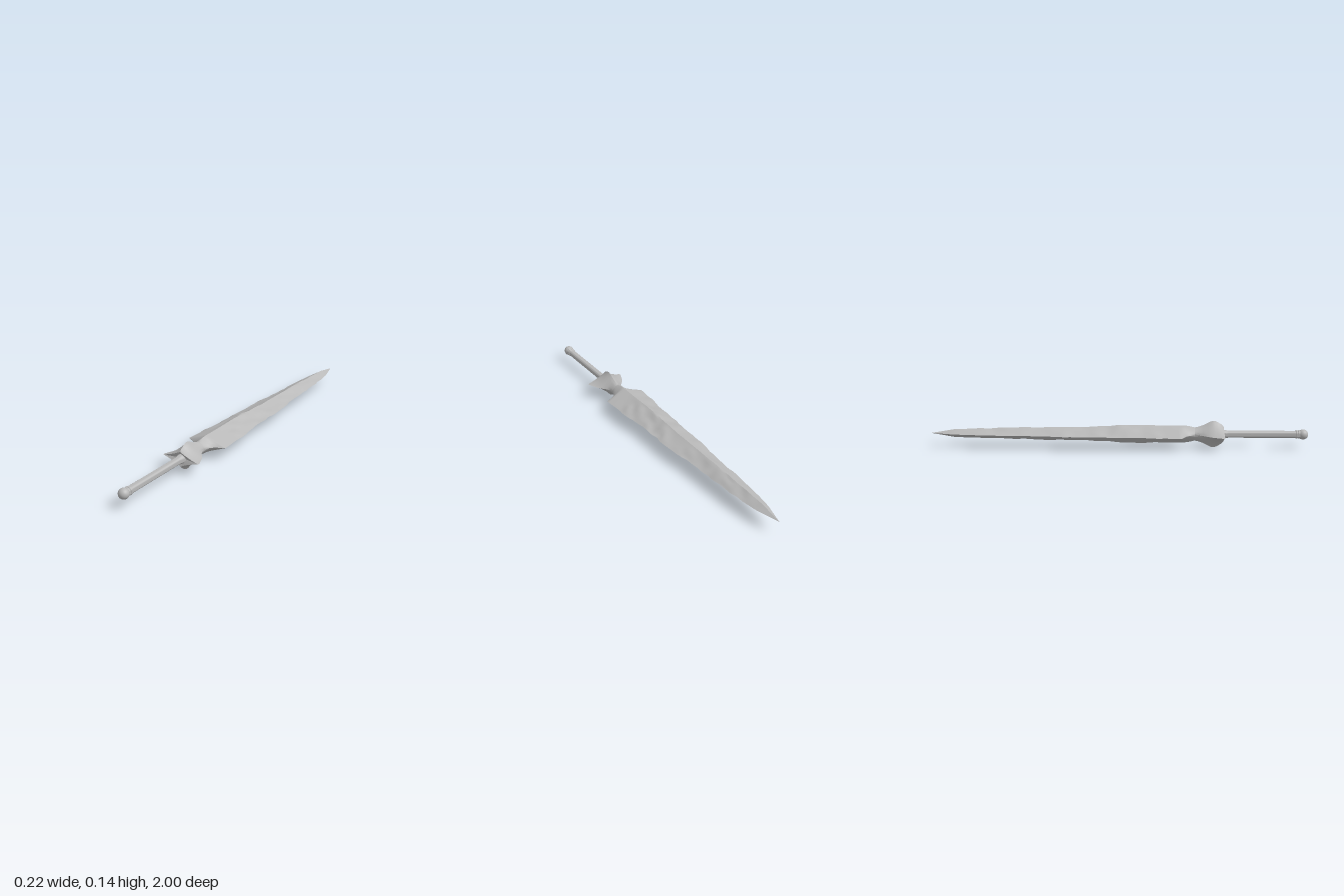
import * as THREE from 'three';
import { toCreasedNormals } from 'three/addons/utils/BufferGeometryUtils.js';

const AXIS_Y = 0.073;
const SIDES = 32;

// Piecewise-linear lookup in rows of [z, halfWidth, halfHeight, pinch], z falling
function sample(rows, z) {
  let i = 0;
  while (i < rows.length - 2 && z < rows[i + 1][0]) i++;
  const a = rows[i], b = rows[i + 1];
  const t = THREE.MathUtils.clamp((z - a[0]) / (b[0] - a[0]), 0, 1);
  return a.map((v, k) => v + (b[k] - v) * t);
}

// Repeatable smooth value noise in -1..1
function hash(i, j) {
  const s = Math.sin(i * 127.1 + j * 311.7) * 43758.5453;
  return (s - Math.floor(s)) * 2 - 1;
}
function noise(u, v) {
  const i = Math.floor(u), j = Math.floor(v);
  const s = THREE.MathUtils.smoothstep(u - i, 0, 1);
  const t = THREE.MathUtils.smoothstep(v - j, 0, 1);
  const lerp = THREE.MathUtils.lerp;
  return lerp(lerp(hash(i, j), hash(i + 1, j), s), lerp(hash(i, j + 1), hash(i + 1, j + 1), s), t);
}

// Skin over star-shaped rings; pinch 1 is an ellipse, 2 a diamond, more is concave
function loft(rings, crease, shape, capZ) {
  const pos = [], index = [];
  for (const [z, w, h, pinch] of rings) {
    for (let i = 0; i < SIDES; i++) {
      const a = (i / SIDES) * Math.PI * 2, c = Math.cos(a), s = Math.sin(a);
      const x = Math.sign(c) * w * Math.pow(Math.abs(c), pinch);
      const y = Math.sign(s) * h * Math.pow(Math.abs(s), pinch);
      const p = shape ? shape(x, y, z, a) : [x, y, z];
      pos.push(p[0], p[1], p[2]);
    }
  }
  for (let j = 0; j < rings.length - 1; j++) {
    for (let i = 0; i < SIDES; i++) {
      const k = (i + 1) % SIDES, a = j * SIDES + i, b = j * SIDES + k;
      index.push(a, a + SIDES, b, b, a + SIDES, b + SIDES);
    }
  }
  if (capZ !== undefined) {
    const centre = pos.length / 3;
    pos.push(0, 0, capZ);
    for (let i = 0; i < SIDES; i++) index.push(centre, i, (i + 1) % SIDES);
  }
  const geo = new THREE.BufferGeometry();
  geo.setAttribute('position', new THREE.Float32BufferAttribute(pos, 3));
  geo.setIndex(index);
  return toCreasedNormals(geo, crease);
}

function bladeGeometry() {
  const rows = [
    [0.40, 0.035, 0.036, 1.3], [0.37, 0.045, 0.043, 1.7], [0.35, 0.065, 0.046, 2],
    [0.337, 0.095, 0.046, 2], [0.328, 0.112, 0.046, 2], [0.2, 0.106, 0.046, 2],
    [0.1, 0.097, 0.049, 2], [0, 0.091, 0.045, 2], [-0.2, 0.085, 0.037, 2],
    [-0.29, 0.081, 0.036, 2], [-0.4, 0.070, 0.034, 2], [-0.6, 0.060, 0.030, 2],
    [-0.8, 0.045, 0.025, 2], [-0.88, 0.034, 0.021, 2], [-1, 0.0005, 0.0005, 2],
  ];
  const rings = rows.slice(0, 5);
  for (let i = 1; i <= 90; i++) rings.push(sample(rows, 0.328 - (1.328 * i) / 90));
  // Chipped edges and hammered faces, fading out at the shoulder and the tip
  const chip = (x, y, z, a) => {
    const fade = THREE.MathUtils.smoothstep(0.3 - z, 0, 0.15) * THREE.MathUtils.smoothstep(z, -0.95, -0.75);
    const side = x > 0 ? 10 : 40, face = y > 0 ? 70 : 95;
    const edge = 1 + fade * 0.06 * noise(z * 24, side);
    const ridge = 1 + fade * 0.07 * noise(z * 16, face);
    const dent = fade * Math.pow(Math.sin(2 * a), 2) * (0.004 + 0.006 * Math.exp(-Math.pow((z - 0.03) / 0.16, 2)));
    const bump = dent * noise(z * 17, x * 28 + face);
    return [x * edge, y * ridge + bump * Math.sign(y), z];
  };
  return loft(rings, 0.65, chip);
}

function guardGeometry() {
  const rows = [
    [0.553, 0.104, 0.040, 2.3], [0.545, 0.106, 0.050, 2.4], [0.525, 0.098, 0.063, 2.4],
    [0.505, 0.090, 0.072, 2.4], [0.49, 0.083, 0.071, 2.3], [0.47, 0.070, 0.062, 2.1],
    [0.445, 0.049, 0.049, 1.8], [0.42, 0.037, 0.040, 1.5], [0.40, 0.035, 0.036, 1.3],
  ];
  return loft(rows, 0.8, null, 0.535);
}

// Turned part from [radius, z] points, running from the guard to the pommel
function turned(points) {
  const geo = new THREE.LatheGeometry(points.map(([r, z]) => new THREE.Vector2(r, z)), 28);
  geo.rotateX(Math.PI / 2);
  return toCreasedNormals(geo, 0.7);
}

export function createModel() {
  const group = new THREE.Group();
  const steel = new THREE.MeshStandardMaterial({ color: 0xb8b8b8 });
  steel.name = 'grey steel';

  const add = (name, geo) => {
    const mesh = new THREE.Mesh(geo, steel);
    mesh.name = name;
    mesh.position.y = AXIS_Y;
    group.add(mesh);
    return mesh;
  };

  add('blade', bladeGeometry());
  add('guard', guardGeometry());
  add('grip', turned([[0.026, 0.525], [0.024, 0.55], [0.021, 0.565], [0.019, 0.58], [0.019, 0.945]]));
  add('collar', turned([[0.018, 0.932], [0.022, 0.935], [0.022, 0.943], [0.019, 0.946], [0.022, 0.949], [0.022, 0.956], [0.018, 0.959]]));
  add('pommel', new THREE.SphereGeometry(0.027, 28, 18)).position.z = 0.973;

  return group;
}
